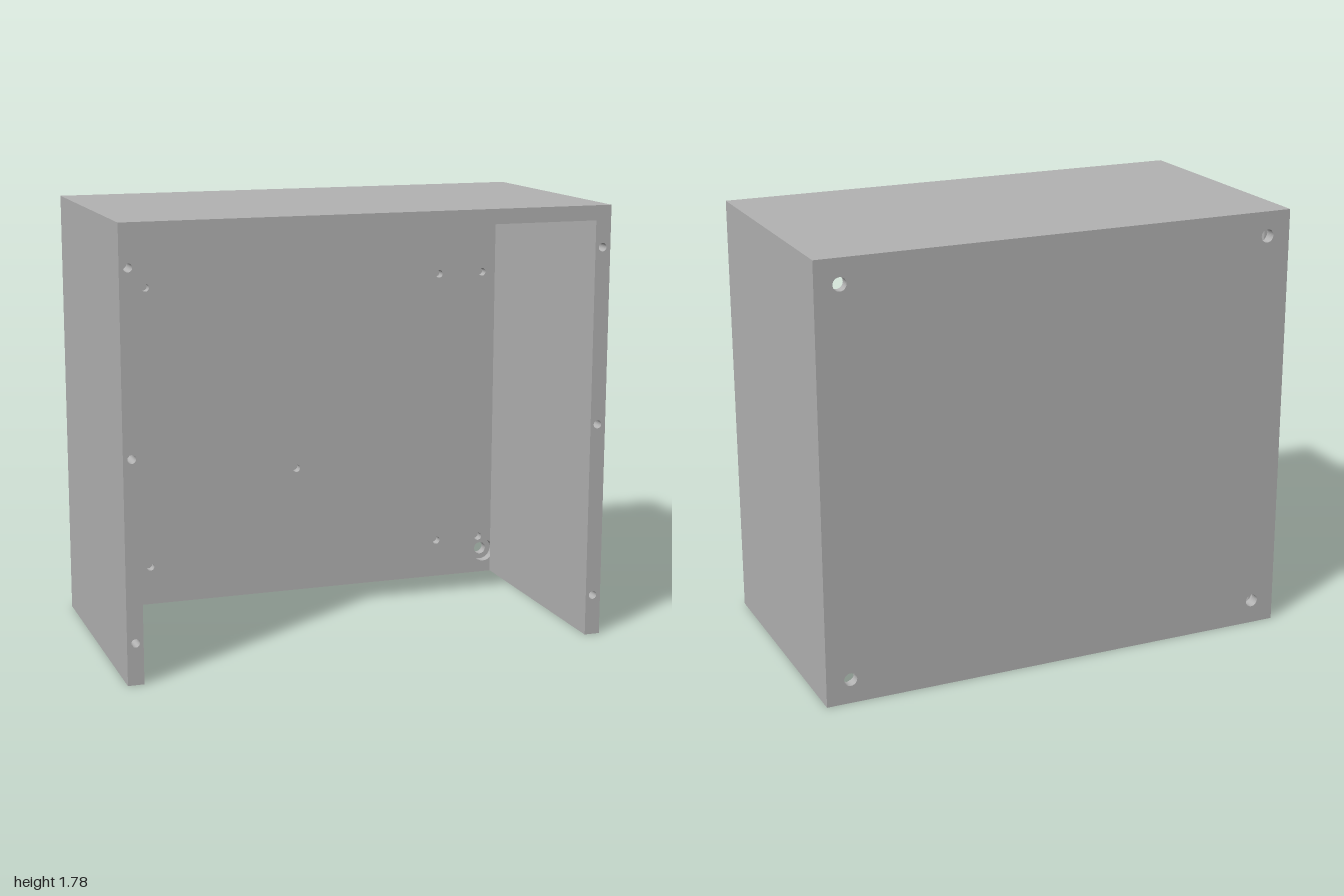
import * as THREE from 'three';

const W = 1, H = 1.78, D = 0.535;          // half width, height, half depth
const WALL = 0.065, TOP = 0.06;            // side and top thickness
const BACK = 0.08, SKIN = 0.04;            // back thickness, outer skin of the back
const SCREW_DEPTH = 0.1, SCREW_R = 0.017;

const mirrorX = (pts) => pts.flatMap(([x, y]) => (x === 0 ? [[x, y]] : [[x, y], [-x, y]]));

function outline(pts) {
  return new THREE.Shape(pts.map(([x, y]) => new THREE.Vector2(x, y)));
}

function drill(shape, centres, radius) {
  for (const [x, y] of centres) {
    shape.holes.push(new THREE.Path().absarc(x, y, radius, 0, Math.PI * 2, true));
  }
  return shape;
}

export function createModel() {
  const group = new THREE.Group();
  const grey = new THREE.MeshStandardMaterial({ color: 0xb2b2b2 });
  grey.name = 'grey';

  // Extrude a layer between two depths
  const layer = (name, shape, z0, z1) => {
    const geo = new THREE.ExtrudeGeometry(shape, { depth: z1 - z0, bevelEnabled: false, curveSegments: 16 });
    geo.translate(0, 0, z0);
    const mesh = new THREE.Mesh(geo, grey);
    mesh.name = name;
    group.add(mesh);
  };

  const panel = () => outline([[-W, 0], [W, 0], [W, H], [-W, H]]);
  const arch = () => outline([
    [-W, 0], [-W + WALL, 0], [-W + WALL, H - TOP], [W - WALL, H - TOP],
    [W - WALL, 0], [W, 0], [W, H], [-W, H],
  ]);

  const mounts = mirrorX([[0.9, 0.1], [0.9, 1.68]]);
  const pilots = mirrorX([[0.873, 0.168], [0.667, 0.168], [0.873, 1.39], [0.667, 1.39], [0, 0.557]]);
  const rimScrews = mirrorX([[0.966, 0.168], [0.966, 0.89], [0.966, 1.612]]);

  // Back wall: through holes outside, wider counterbores and blind pilot holes inside
  layer('backSkin', drill(panel(), mounts, 0.027), -D, -D + SKIN);
  layer('backInner', drill(drill(panel(), mounts, 0.05), pilots, SCREW_R), -D + SKIN, -D + BACK);

  // Side walls and top, open at the front and the bottom
  layer('shell', arch(), -D + BACK, D - SCREW_DEPTH);

  // Front rim with blind screw holes
  layer('frontRim', drill(arch(), rimScrews, SCREW_R), D - SCREW_DEPTH, D);

  return group;
}
